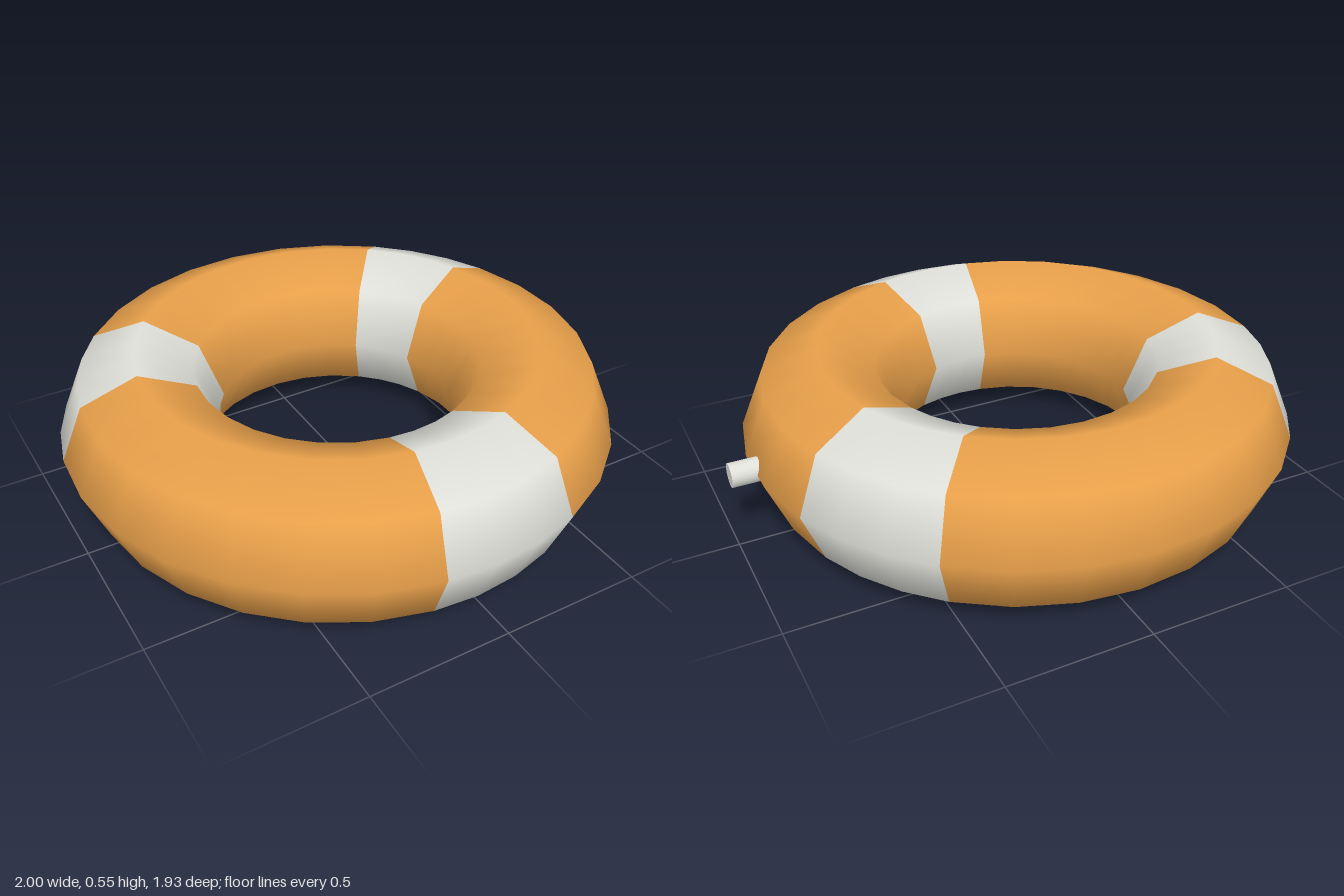
import * as THREE from 'three';

const RING = 0.69, TUBE = 0.275, CENTER_X = -0.04;

// Arc of the tube lying flat, angles in degrees measured from +x towards +z
function ringArc(name, start, sweep, segments, material) {
  const geo = new THREE.TorusGeometry(RING, TUBE, 8, segments, THREE.MathUtils.degToRad(sweep));
  geo.rotateX(Math.PI / 2);
  geo.rotateY(-THREE.MathUtils.degToRad(start));
  const mesh = new THREE.Mesh(geo, material);
  mesh.name = name;
  mesh.position.set(CENTER_X, TUBE, 0);
  return mesh;
}

export function createModel() {
  const group = new THREE.Group();
  group.name = 'swimRing';
  const orange = new THREE.MeshStandardMaterial({ color: 0xe8a04a, side: THREE.DoubleSide });
  const white = new THREE.MeshStandardMaterial({ color: 0xe0e0da, side: THREE.DoubleSide });

  // Three long orange sections alternating with three short white bands
  for (let i = 0; i < 3; i++) {
    group.add(ringArc(`orangeSection${i + 1}`, -20 + i * 120, 90, 7, orange));
    group.add(ringArc(`whiteBand${i + 1}`, 70 + i * 120, 30, 3, white));
  }

  // Inflation valve on the left side
  const valveGeo = new THREE.CylinderGeometry(0.042, 0.042, 0.12, 16);
  valveGeo.rotateZ(-Math.PI / 2);
  const valve = new THREE.Mesh(valveGeo, white);
  valve.name = 'valve';
  valve.position.set(0.94, TUBE, 0);
  group.add(valve);

  return group;
}
